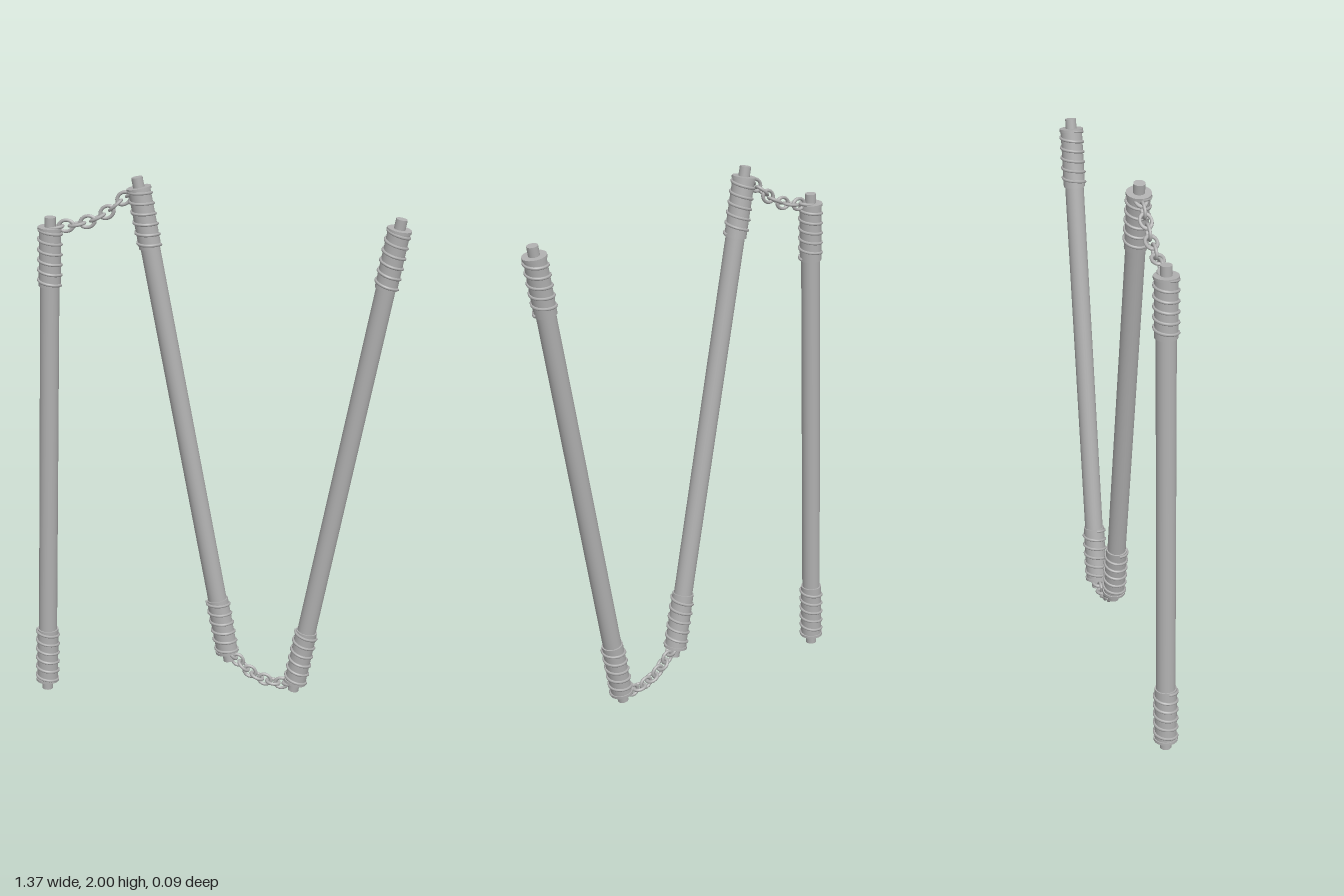
import * as THREE from 'three';

const steel = new THREE.MeshStandardMaterial({ color: 0xb0b0b0 });
steel.name = 'grey steel';

const LENGTH = 1.84, NUB = 0.035, GRIP = 0.215;

function add(parent, geometry, name, y = 0) {
  const mesh = new THREE.Mesh(geometry, steel);
  mesh.name = name;
  mesh.position.y = y;
  parent.add(mesh);
  return mesh;
}

// Wire wound around a grip sleeve
function wireGeometry() {
  const points = [], turns = 5.5, steps = 88;
  for (let i = 0; i <= steps; i++) {
    const t = i / steps, a = t * turns * Math.PI * 2;
    points.push(new THREE.Vector3(
      0.04 * Math.cos(a), (t - 0.5) * (GRIP - 0.012), 0.04 * Math.sin(a)));
  }
  return new THREE.TubeGeometry(new THREE.CatmullRomCurve3(points), 176, 0.0055, 6);
}

// One end of a staff: sleeve, wound wire, rim and end nub
function createGrip(wire) {
  const grip = new THREE.Group();
  grip.name = 'grip';
  const centre = LENGTH / 2 - NUB - GRIP / 2;
  add(grip, new THREE.CylinderGeometry(0.039, 0.039, GRIP, 24), 'gripSleeve', centre);
  add(grip, wire, 'gripWire', centre);
  add(grip, new THREE.CylinderGeometry(0.043, 0.043, 0.01, 24), 'gripRim', LENGTH / 2 - NUB - 0.005);
  add(grip, new THREE.CylinderGeometry(0.02, 0.02, NUB + 0.01, 16), 'endNub', LENGTH / 2 - NUB / 2 - 0.005);
  return grip;
}

function createStaff(name, bottom, top, wire) {
  const staff = new THREE.Group();
  staff.name = name;
  add(staff, new THREE.CylinderGeometry(0.034, 0.034, LENGTH - 2 * NUB - 0.02, 24), 'shaft');
  const upper = createGrip(wire), lower = createGrip(wire);
  lower.rotation.z = Math.PI;
  staff.add(upper, lower);
  const dx = top[0] - bottom[0], dy = top[1] - bottom[1];
  staff.position.set((top[0] + bottom[0]) / 2, (top[1] + bottom[1]) / 2, 0);
  staff.rotation.z = -Math.atan2(dx, dy);
  return staff;
}

// Oval links along a sagging curve, every other one turned a quarter
function createChain(name, path, count, linkLength) {
  const chain = new THREE.Group();
  chain.name = name;
  const curve = new THREE.CatmullRomCurve3(path.map(([x, y]) => new THREE.Vector3(x, y, 0)));
  const geometry = new THREE.TorusGeometry(0.02, 0.006, 8, 20);
  geometry.scale(linkLength / 0.052, 1, 1);
  for (let i = 0; i < count; i++) {
    const t = i / (count - 1);
    const tangent = curve.getTangentAt(t);
    const link = add(chain, geometry, 'chainLink');
    link.position.copy(curve.getPointAt(t));
    link.rotation.order = 'ZYX';
    link.rotation.z = Math.atan2(tangent.y, tangent.x);
    link.rotation.x = i % 2 ? 0 : Math.PI / 2;
  }
  return chain;
}

export function createModel() {
  const model = new THREE.Group();
  model.name = 'threeSectionStaff';
  const wire = wireGeometry();

  model.add(
    createStaff('rightStaff', [-0.645, 0.001], [-0.582, 1.843], wire),
    createStaff('middleStaff', [0.057, 0.186], [-0.27, 1.997], wire),
    createStaff('leftStaff', [0.299, 0.088], [0.645, 1.893], wire),
    createChain('upperChain',
      [[-0.565, 1.806], [-0.53, 1.812], [-0.457, 1.828], [-0.39, 1.86], [-0.32, 1.918], [-0.285, 1.945]], 9, 0.068),
    createChain('lowerChain',
      [[0.07, 0.215], [0.098, 0.182], [0.15, 0.138], [0.2, 0.118], [0.25, 0.111], [0.285, 0.116]], 9, 0.06));
  return model;
}
